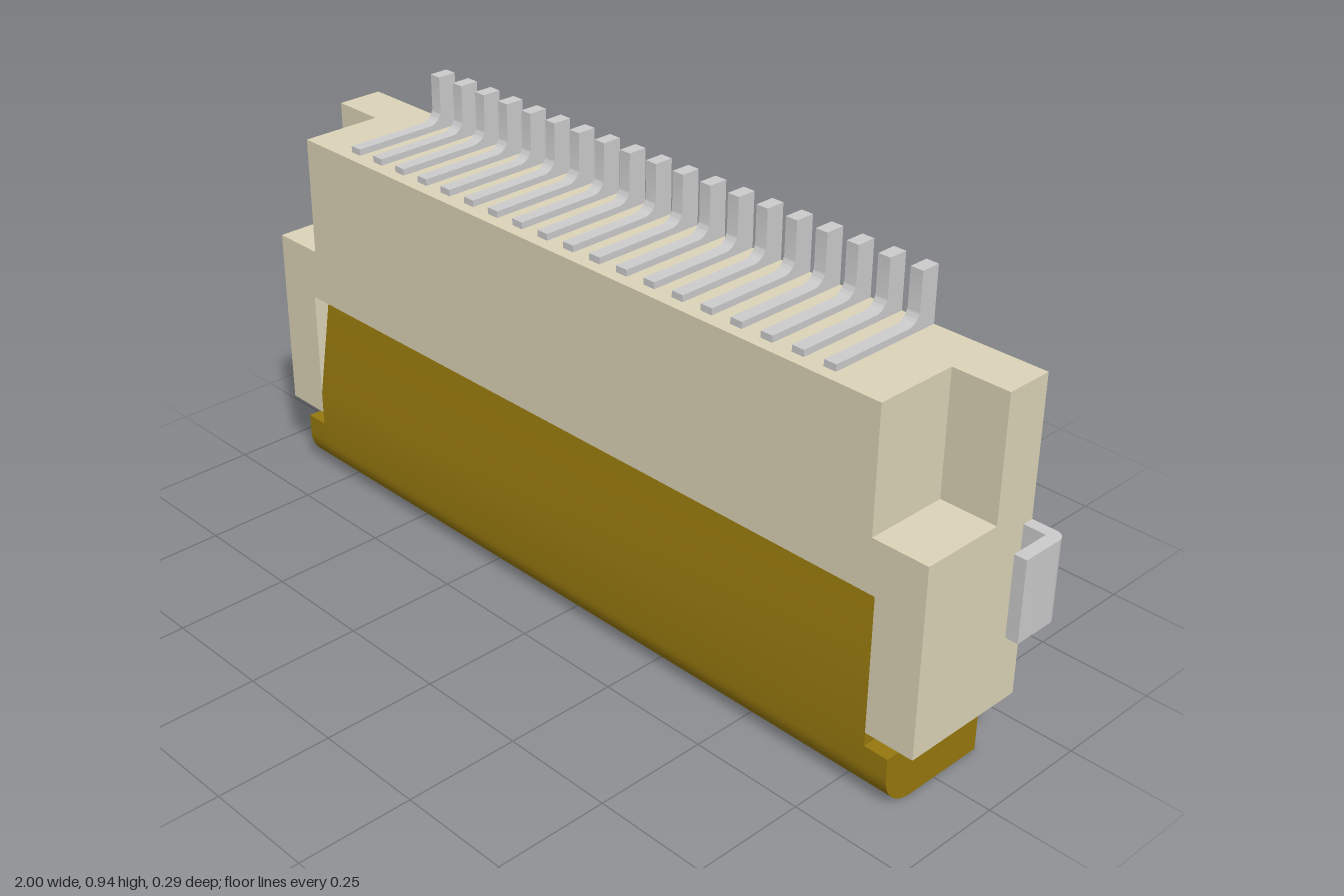
import * as THREE from 'three';
import { toCreasedNormals } from 'three/addons/utils/BufferGeometryUtils.js';

const material = (color) => new THREE.MeshStandardMaterial({ color });
const metal = material(0xcccccc);
const cream = material(0xdcd4b8);
const amber = material(0x96780e);

const BACK = -0.145, FRONT = 0.145, SPLIT = -0.04;

function mesh(name, geometry, mat) {
  const m = new THREE.Mesh(geometry, mat);
  m.name = name;
  return m;
}

function extrude(shape, depth) {
  return new THREE.ExtrudeGeometry(shape, { depth, bevelEnabled: false, curveSegments: 10 });
}

// Extrude a (z, y) profile along x between x0 and x1
function alongX(shape, x0, x1) {
  const g = extrude(shape, x1 - x0);
  g.rotateY(-Math.PI / 2);
  g.translate(x1, 0, 0);
  return toCreasedNormals(g, 0.5);
}

function box(name, x0, x1, y0, y1, z0, z1, mat) {
  const g = new THREE.BoxGeometry(x1 - x0, y1 - y0, z1 - z0);
  g.translate((x0 + x1) / 2, (y0 + y1) / 2, (z0 + z1) / 2);
  return mesh(name, g, mat);
}

function polygon(points) {
  return new THREE.Shape(points.map(([x, y]) => new THREE.Vector2(x, y)));
}

// Closed (z, y) profile with the rounded lower front corner
function flapProfile(back, upper) {
  const r = 0.075;
  const s = new THREE.Shape();
  s.moveTo(back, 0);
  s.lineTo(FRONT - r, 0);
  s.absarc(FRONT - r, r, r, -Math.PI / 2, 0, false);
  upper.forEach(([z, y]) => s.lineTo(z, y));
  s.closePath();
  return s;
}

function createHousing() {
  const housing = new THREE.Group();
  housing.name = 'housing';
  housing.add(box('housingBack', -0.925, 0.925, 0.15, 0.825, BACK, SPLIT, cream));
  // Front layer: notched upper corners, open recess for the flap
  const half = [[0.815, 0.445], [0.815, 0.15], [0.925, 0.15], [0.925, 0.56], [0.8, 0.56], [0.8, 0.825]];
  const other = half.map(([x, y]) => [-x, y]).reverse();
  const front = extrude(polygon([...half, ...other]), FRONT - SPLIT);
  front.translate(0, 0, SPLIT);
  housing.add(mesh('housingFront', front, cream));
  return housing;
}

function createFlap() {
  const flap = new THREE.Group();
  flap.name = 'lockingFlap';
  // Main lever, leaning inward above the crease
  const main = flapProfile(SPLIT, [[FRONT, 0.2], [0.105, 0.445], [SPLIT, 0.445]]);
  flap.add(mesh('flapLever', alongX(main, -0.815, 0.815), amber));
  const wing = flapProfile(-0.122, [[FRONT, 0.12], [-0.122, 0.12]]);
  for (const side of [-1, 1]) {
    const [w0, w1] = [0.815 * side, 0.87 * side].sort((a, b) => a - b);
    flap.add(mesh('flapWing', alongX(wing, w0, w1), amber));
    const [f0, f1] = [0.745 * side, 0.815 * side].sort((a, b) => a - b);
    flap.add(box('flapFoot', f0, f1, 0, 0.15, -0.122, SPLIT, amber));
  }
  return flap;
}

function createPins() {
  const pins = new THREE.Group();
  pins.name = 'contactPins';
  // L-shaped pin with an inner fillet
  const s = new THREE.Shape();
  s.moveTo(BACK, 0.825);
  s.lineTo(0.118, 0.825);
  s.lineTo(0.118, 0.839);
  s.lineTo(-0.072, 0.839);
  s.absarc(-0.072, 0.869, 0.03, -Math.PI / 2, -Math.PI, true);
  s.lineTo(-0.102, 0.943);
  s.lineTo(BACK, 0.943);
  s.closePath();
  const geometry = alongX(s, -0.014, 0.014);
  const count = 19, pitch = 0.0736;
  for (let i = 0; i < count; i++) {
    const pin = mesh('contactPin', geometry, metal);
    pin.position.x = (i - (count - 1) / 2) * pitch;
    pins.add(pin);
  }
  return pins;
}

function createSideTab(side) {
  // Bent strip seen from above, drawn as (x, -z)
  const r = 0.022;
  const s = new THREE.Shape();
  s.moveTo(0.925, 0.12);
  s.lineTo(0.973, 0.12);
  s.lineTo(0.973, 0.03);
  s.lineTo(1, 0.03);
  s.lineTo(1, -BACK - r);
  s.absarc(1 - r, -BACK - r, r, 0, Math.PI / 2, false);
  s.lineTo(0.925, -BACK);
  s.closePath();
  const g = extrude(s, 0.175);
  g.rotateX(-Math.PI / 2);
  // Turning by half a circle about z mirrors the tab to the other side
  if (side < 0) {
    g.rotateZ(Math.PI);
    g.translate(0, 0.175, 0);
  }
  g.translate(0, 0.355, 0);
  return mesh(side > 0 ? 'leftTab' : 'rightTab', toCreasedNormals(g, 0.5), metal);
}

export function createModel() {
  const model = new THREE.Group();
  model.name = 'ribbonCableConnector';
  model.add(createHousing(), createFlap(), createPins(), createSideTab(1), createSideTab(-1));
  return model;
}
